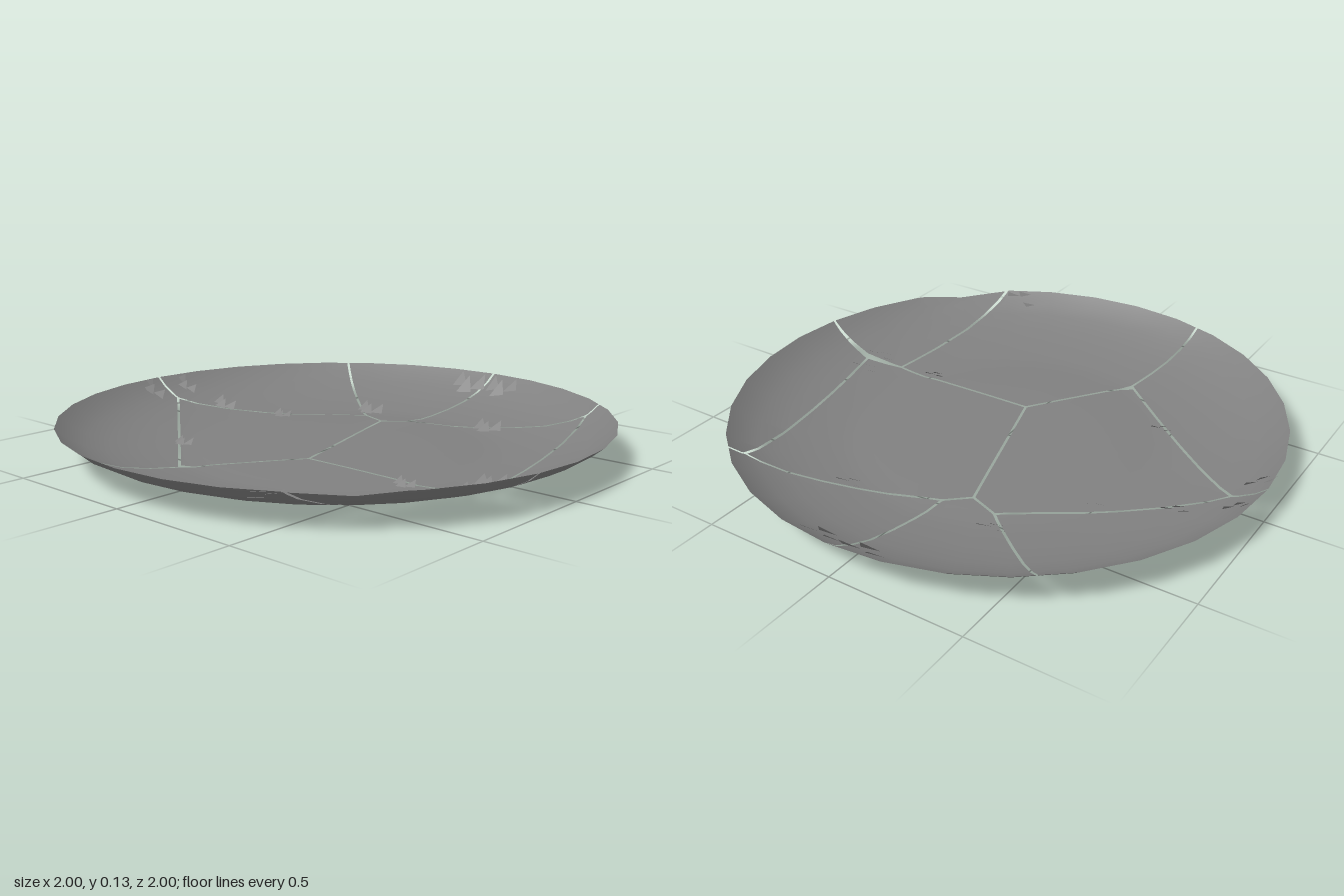
import * as THREE from 'three';
import { toCreasedNormals } from 'three/addons/utils/BufferGeometryUtils.js';

const SIDES = 32;
const GAP = 0.005; // half the width of a crack

// Plate section: radius, height
const PROFILE = [
  [0, 0.008], [0.3, 0.008], [0.5, 0.006], [0.56, 0.002], [0.62, 0.006],
  [0.72, 0.018], [0.82, 0.037], [0.9, 0.065], [0.96, 0.097], [1, 0.13],
];

// Crack junctions as [x, z]
const P = {
  rimBackLeft: [-0.62, -0.77], rimBack: [0, -1], rimBackRight: [0.64, -0.77], rimRight: [0.98, 0.19],
  rimFrontRight: [0.55, 0.84], rimFront: [-0.3, 0.95], rimLeft: [-1, 0], chip: [0.81, 0.59],
  a: [-0.24, -0.45], b: [-0.13, -0.41], c: [-0.05, -0.48], d: [0.61, -0.72], e: [0.78, 0.15],
  f: [0.64, 0.19], g: [0.05, 0.2], h: [-0.21, 0.57], i: [-0.88, 0],
  nickA: [-0.225, 0.557], nickB: [-0.18, 0.527], nickC: [0.8, 0.17],
};

// Each shard is the part of the plate inside a convex chain of cracks
const SHARDS = {
  centreShardA: 'i a b g nickB nickA i',
  centreShardB: 'b c d e f g b',
  backShardA: 'rimBack c d rimBackRight',
  backShardB: 'rimBackLeft a b c rimBack',
  sideShardA: 'rimLeft i a rimBackLeft',
  sideShardB: 'rimLeft i h rimFront',
  frontShardA: 'rimFront h g f rimFrontRight',
  frontShardB: 'rimRight nickC f rimFrontRight chip',
  sideShardC: 'rimBackRight d e rimRight',
};

// Splintered spots along the cracks: x, z, length
const SPLINTERS = [
  [-0.95, 0.09, 0.09], [-0.94, -0.08, 0.08], [-0.08, -0.9, 0.13], [0.08, -0.91, 0.12],
  [-0.29, -0.51, 0.1], [0.26, -0.56, 0.1], [-0.75, -0.12, 0.09], [-0.51, -0.22, 0.07],
  [-0.46, 0.35, 0.07], [0.49, 0.23, 0.07], [0.73, 0.1, 0.1], [0.74, 0.21, 0.09], [0.47, 0.85, 0.11],
];

// Signed distance functions, positive inside the shard
function crackPlanes(chain) {
  const pts = chain.split(' ').map((k) => P[k]);
  const cx = pts.reduce((s, p) => s + p[0], 0) / pts.length;
  const cz = pts.reduce((s, p) => s + p[1], 0) / pts.length;
  return pts.slice(1).map((q, n) => {
    const p = pts[n];
    const len = Math.hypot(q[0] - p[0], q[1] - p[1]);
    let nx = (p[1] - q[1]) / len, nz = (q[0] - p[0]) / len;
    if ((cx - p[0]) * nx + (cz - p[1]) * nz < 0) { nx = -nx; nz = -nz; }
    return ([x, , z]) => (x - p[0]) * nx + (z - p[1]) * nz - GAP;
  });
}

// Keep the part of a facet on the positive side of a crack
function clip(poly, dist) {
  const out = [];
  poly.forEach((p, n) => {
    const q = poly[(n + 1) % poly.length];
    const dp = dist(p), dq = dist(q);
    if (dp >= 0) out.push(p);
    if ((dp >= 0) !== (dq >= 0)) {
      const t = dp / (dp - dq);
      out.push(p.map((v, k) => v + (q[k] - v) * t));
    }
  });
  return out;
}

// Facets of the whole plate
function plateFacets() {
  const corner = ([r, y], s) => {
    const a = (s / SIDES) * Math.PI * 2;
    return [r * Math.cos(a), y, r * Math.sin(a)];
  };
  const facets = [];
  for (let n = 0; n < PROFILE.length - 1; n++) {
    for (let s = 0; s < SIDES; s++) {
      const quad = [corner(PROFILE[n], s), corner(PROFILE[n], s + 1),
        corner(PROFILE[n + 1], s + 1), corner(PROFILE[n + 1], s)];
      facets.push(n === 0 ? quad.slice(1) : quad);
    }
  }
  return facets;
}

function geometryFrom(positions) {
  const geometry = new THREE.BufferGeometry();
  geometry.setAttribute('position', new THREE.Float32BufferAttribute(positions, 3));
  return geometry;
}

function shardGeometry(chain, facets) {
  const planes = crackPlanes(chain);
  const positions = [];
  for (const facet of facets) {
    const poly = planes.reduce(clip, facet);
    for (let k = 1; k < poly.length - 1; k++) positions.push(...poly[0], ...poly[k], ...poly[k + 1]);
  }
  return toCreasedNormals(geometryFrom(positions), 0.5);
}

function plateHeight(x, z) {
  const r = Math.min(Math.hypot(x, z), 0.999);
  const n = PROFILE.findIndex((p) => p[0] > r);
  const [r0, y0] = PROFILE[n - 1], [r1, y1] = PROFILE[n];
  return y0 + ((y1 - y0) * (r - r0)) / (r1 - r0);
}

// A fan of thin flakes rising from the plate towards the back
function splinterGeometry([x, z, size]) {
  const positions = [];
  for (let k = 0; k < 3; k++) {
    const x0 = x + (k / 3 - 0.5) * size, x1 = x0 + size * 0.5;
    const z0 = z + (k % 2) * size * 0.25, z1 = z0 - size * 0.15;
    const tipX = x0 + size * 0.1 * (k + 1), tipZ = z0 - size * 0.5;
    const tipY = Math.min(plateHeight(tipX, tipZ) + size * 0.3, 0.13);
    positions.push(x0, plateHeight(x0, z0), z0, x1, plateHeight(x1, z1), z1, tipX, tipY, tipZ);
  }
  const geometry = geometryFrom(positions);
  geometry.computeVertexNormals();
  return geometry;
}

export function createModel() {
  const plate = new THREE.Group();
  plate.name = 'brokenPlate';
  const material = new THREE.MeshStandardMaterial({ color: 0x808080, side: THREE.DoubleSide });
  const add = (name, geometry) => {
    const mesh = new THREE.Mesh(geometry, material);
    mesh.name = name;
    plate.add(mesh);
  };
  const facets = plateFacets();
  for (const [name, chain] of Object.entries(SHARDS)) add(name, shardGeometry(chain, facets));
  SPLINTERS.forEach((spot, n) => add(`splinter${n + 1}`, splinterGeometry(spot)));
  return plate;
}
